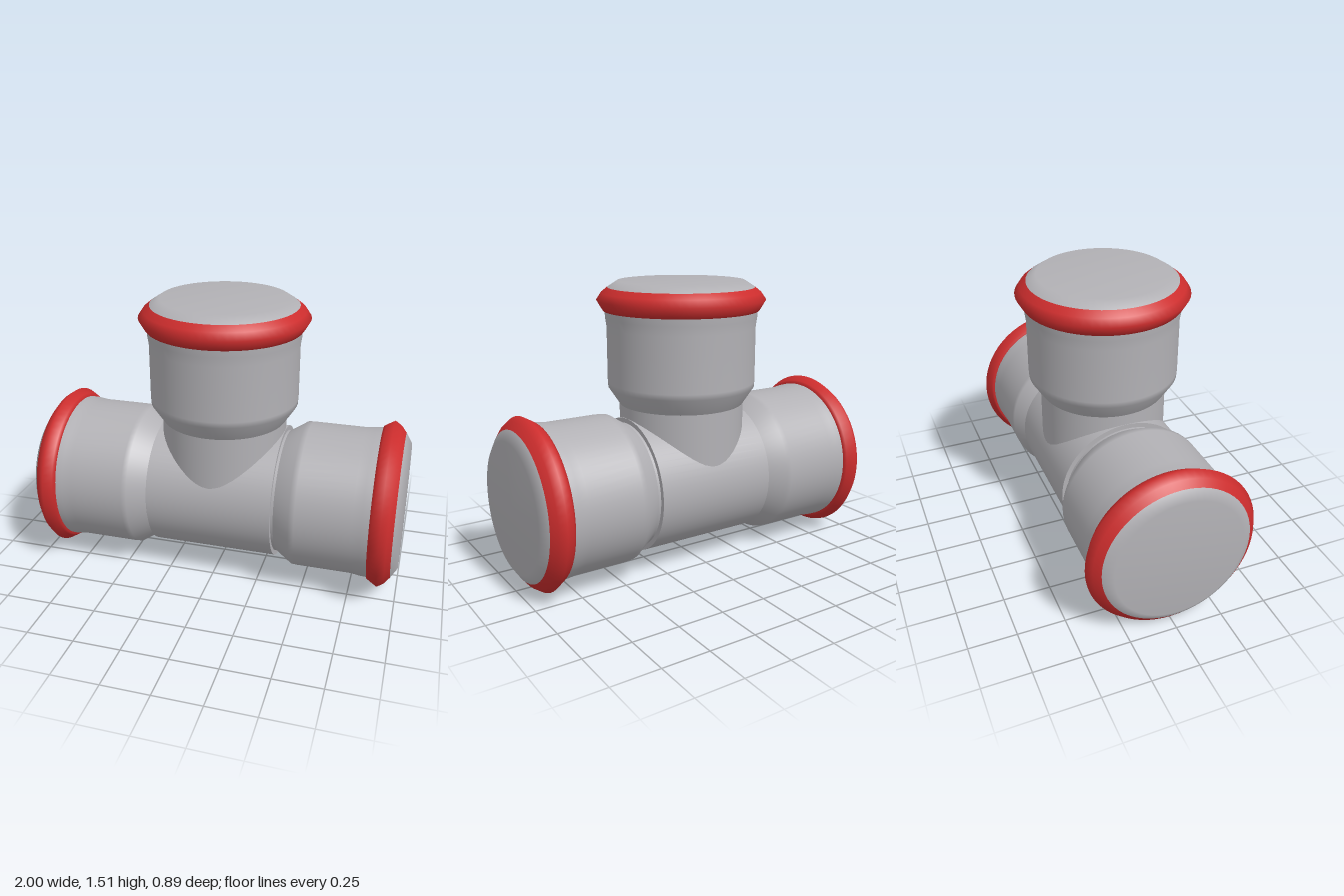
import * as THREE from 'three';

const AXIS_Y = 0.447;
const SEGMENTS = 64;

export function createModel() {
  const grey = new THREE.MeshStandardMaterial({ color: 0xb2b1b5 });
  grey.name = 'pipeGrey';
  const red = new THREE.MeshStandardMaterial({ color: 0xcc2d2d });
  red.name = 'sealRed';

  const model = new THREE.Group();
  model.name = 'teeFitting';

  // Revolved part: profile points are [radius, height]
  const lathe = (name, profile, material) => {
    const points = profile.map(([r, h]) => new THREE.Vector2(r, h));
    const mesh = new THREE.Mesh(new THREE.LatheGeometry(points, SEGMENTS), material);
    mesh.name = name;
    return mesh;
  };

  // Socket along +y from the centre of the fitting, ending at height end
  const makeSocket = (name, end) => {
    const group = new THREE.Group();
    group.name = name;
    const shoulder = end - 0.65;
    group.add(
      lathe('neck', [[0.335, 0.1], [0.335, shoulder]], grey),
      lathe('sleeve', [
        [0.335, shoulder], [0.394, shoulder + 0.09], [0.396, shoulder + 0.12],
        [0.396, end - 0.24], [0.403, end - 0.19], [0.405, end - 0.14],
      ], grey),
      lathe('sealRing', [
        [0.39, end - 0.153], [0.413, end - 0.153], [0.422, end - 0.14], [0.447, end - 0.097],
        [0.422, end - 0.06], [0.388, end - 0.033],
      ], red),
      lathe('endCap', [[0.388, end - 0.033], [0.337, end], [0, end]], grey),
    );
    return group;
  };

  // Horizontal run in the middle
  const body = new THREE.Mesh(new THREE.CylinderGeometry(0.36, 0.36, 0.674, SEGMENTS), grey);
  body.name = 'mainBody';
  body.rotation.z = Math.PI / 2;
  body.position.y = AXIS_Y;
  model.add(body);

  // Three sockets: left, right and the upright branch
  for (const [name, end, turn] of [
    ['leftSocket', 1, -Math.PI / 2],
    ['rightSocket', 1, Math.PI / 2],
    ['branchSocket', 1.067, 0],
  ]) {
    const socket = makeSocket(name, end);
    socket.position.y = AXIS_Y;
    socket.rotation.z = turn;
    model.add(socket);
  }

  return model;
}
